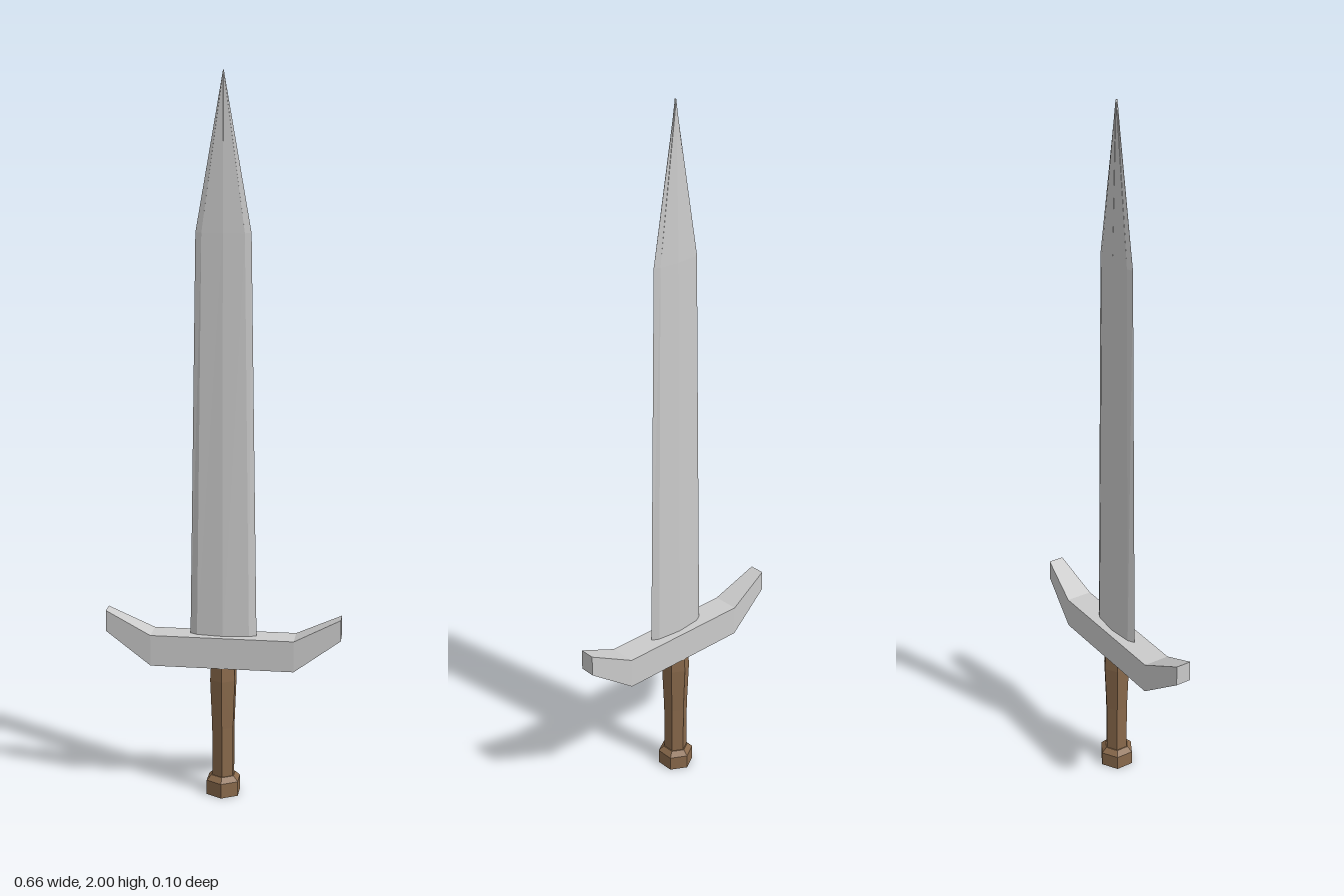
import * as THREE from 'three';

const steel = new THREE.MeshStandardMaterial({ color: 0xcccccc, flatShading: true });
const leather = new THREE.MeshStandardMaterial({ color: 0x8a6a4c, flatShading: true });

// Skin a list of equal-length rings, counter-clockwise about the travel direction, and cap both ends
function loft(rings) {
  const n = rings[0].length, index = [];
  const last = (rings.length - 1) * n;
  for (let i = 0; i < rings.length - 1; i++) {
    for (let j = 0; j < n; j++) {
      const a = i * n + j, b = i * n + (j + 1) % n;
      index.push(a, b, b + n, a, b + n, a + n);
    }
  }
  for (let j = 1; j < n - 1; j++) {
    index.push(0, j + 1, j, last, last + j, last + j + 1);
  }
  const geometry = new THREE.BufferGeometry();
  geometry.setAttribute('position', new THREE.Float32BufferAttribute(rings.flat(2), 3));
  geometry.setIndex(index);
  geometry.computeVertexNormals();
  return geometry;
}

function hexTurned(profile) {
  return new THREE.LatheGeometry(profile.map(([r, y]) => new THREE.Vector2(r, y)), 6);
}

export function createModel() {
  const group = new THREE.Group();
  const add = (name, geometry, material) => {
    const mesh = new THREE.Mesh(geometry, material);
    mesh.name = name;
    group.add(mesh);
  };

  // Blade: eight-sided section with a central ridge and bevelled edges
  const bladeRing = (y, w, bevel, t) => {
    const s = t * 0.58;
    return [[0, t], [bevel, s], [w, 0], [bevel, -s], [0, -t], [-bevel, -s], [-w, 0], [-bevel, s]]
      .map(([x, z]) => [x, y, z]);
  };
  add('blade', loft([
    bladeRing(0.44, 0.093, 0.073, 0.019),
    bladeRing(1.58, 0.075, 0.058, 0.012),
    bladeRing(2, 0.001, 0.0007, 0.003),
  ]), steel);

  // Crossguard: upswept arms that narrow towards the ends
  const guardRing = (x, low, high, d) =>
    [[x, low, -d], [x, high, -d], [x, high, d], [x, low, d]];
  add('crossguard', loft([
    guardRing(-0.328, 0.47, 0.53, 0.022),
    guardRing(-0.2, 0.38, 0.468, 0.038),
    guardRing(0.2, 0.38, 0.468, 0.038),
    guardRing(0.328, 0.47, 0.53, 0.022),
  ]), steel);

  // Grip: hexagonal, swelling below the guard
  add('grip', hexTurned([[0.033, 0.04], [0.034, 0.2], [0.04, 0.34], [0.037, 0.39]]), leather);

  // Pommel: hexagonal cap with a chamfered top
  add('pommel', hexTurned([[0, 0], [0.051, 0], [0.051, 0.042], [0.036, 0.056], [0, 0.056]]), leather);

  return group;
}
